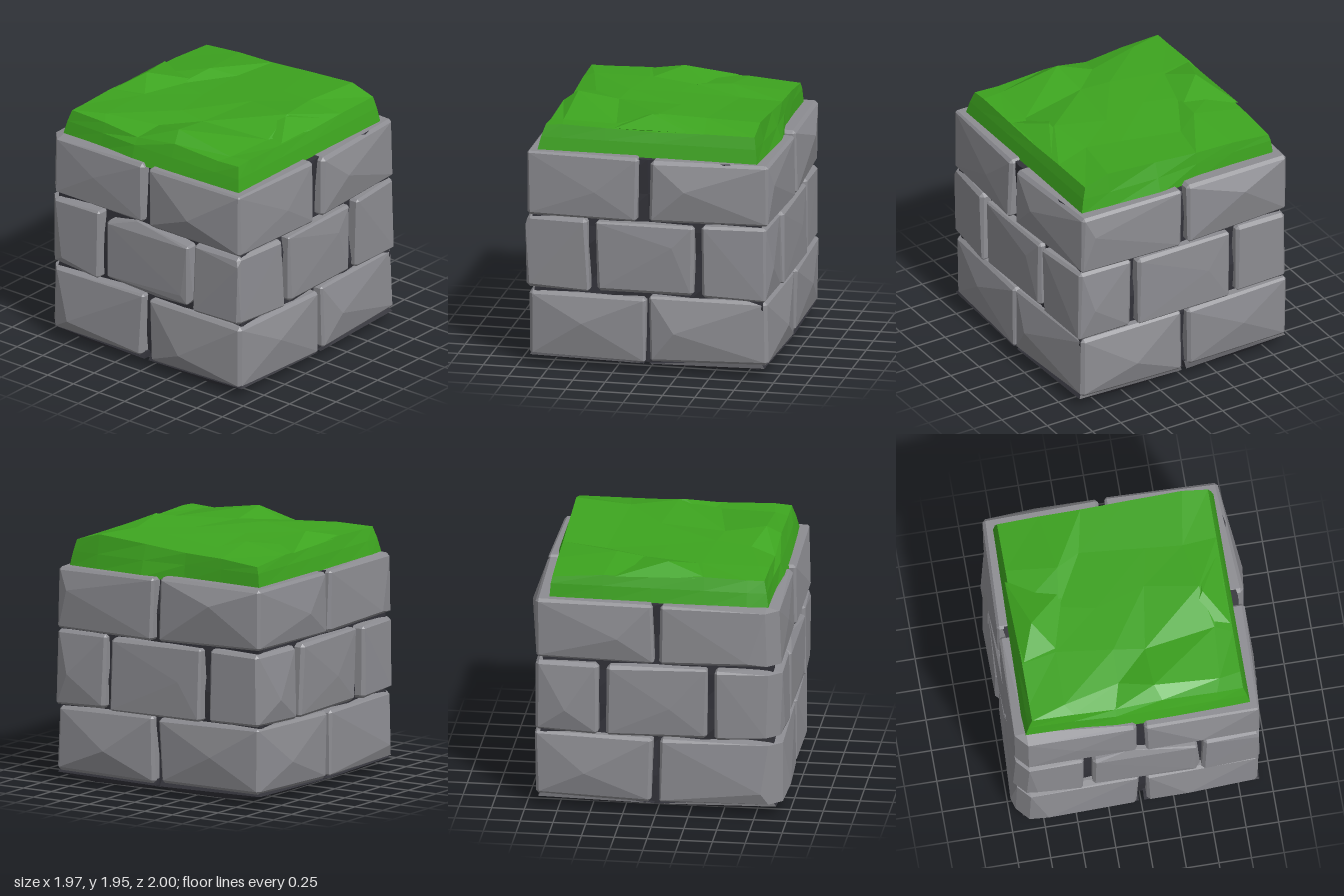
import * as THREE from 'three';
import { ConvexGeometry } from 'three/addons/geometries/ConvexGeometry.js';

const paint = (name, color) => {
  const m = new THREE.MeshStandardMaterial({ color, flatShading: true });
  m.name = name;
  return m;
};

// Small seeded generator, returns -1..1
function makeRandom(seed) {
  return () => {
    seed = (seed * 16807) % 2147483647;
    return (seed / 2147483647) * 2 - 1;
  };
}

export function createModel() {
  const stone = paint('stone grey', 0x8c8c91);
  const mortar = paint('dark mortar', 0x33333a);
  const grass = paint('grass green', 0x3da41f);
  const rand = makeRandom(4217);
  const group = new THREE.Group();
  group.name = 'grassyStoneBlock';

  const add = (name, geometry, material) => {
    const mesh = new THREE.Mesh(geometry, material);
    mesh.name = name;
    group.add(mesh);
  };

  // Rough-hewn brick: skewed box with thin bevels, pulled in at the outer corners
  // of the block (cut off at the front right), plus points that bulge its faces
  function brick(name, [x0, x1], [y0, y1], [z0, z1], bulges = []) {
    const points = bulges.map((b) => new THREE.Vector3(...b));
    for (const [x, sx] of [[x0, 1], [x1, -1]])
      for (const [y, sy] of [[y0, 1], [y1, -1]])
        for (const [z, sz] of [[z0, 1], [z1, -1]]) {
          const corner = Math.abs(x) > 0.9 && Math.abs(z) > 0.9;
          const cut = corner && x < 0 && z > 0;
          const pull = corner && !cut ? 0.96 : 1;
          const c = 0.02 + rand() * 0.008;
          const cx = cut ? 0.09 : c, cz = cut ? 0.1 : c;
          const px = x * pull + rand() * 0.012;
          const py = y + rand() * 0.01;
          const pz = z * (pull + 1) / 2 + rand() * 0.012;
          points.push(
            new THREE.Vector3(px, py + sy * c, pz + sz * cz),
            new THREE.Vector3(px + sx * cx, py, pz + sz * cz),
            new THREE.Vector3(px + sx * cx, py + sy * c, pz),
          );
        }
    add(name, new ConvexGeometry(points), stone);
  }

  // Bottom course: four corner bricks
  const low = [0.09, 0.597];
  brick('bottomBrickFrontRight', [-0.95, -0.03], low, [0.03, 0.95],
    [[-0.72, 0.2, 1.0], [-0.985, 0.2, 0.8]]);
  brick('bottomBrickFrontLeft', [0.035, 0.94], [0.08, 0.59], [0.01, 0.94],
    [[0.35, 0.22, 0.985], [0.965, 0.36, 0.5]]);
  brick('bottomBrickBackLeft', [0.03, 0.94], low, [-0.95, -0.02],
    [[0.985, 0.33, -0.22], [0.45, 0.3, -1.0]]);
  brick('bottomBrickBackRight', [-0.95, -0.03], low, [-0.95, -0.03],
    [[-0.975, 0.3, -0.55], [-0.5, 0.35, -0.98]]);

  // Middle course: corner bricks with one brick between them on each side
  const mid = [0.615, 1.178];
  brick('middleBrickFrontRight', [-0.965, -0.44], mid, [0.44, 0.95], [[-0.8, 0.7, 0.965]]);
  brick('middleBrickFrontLeft', [0.465, 0.95], mid, [0.45, 0.95], [[0.9, 1.1, 0.945]]);
  brick('middleBrickBackLeft', [0.47, 0.95], mid, [-0.94, -0.44], [[0.8, 0.85, -0.96]]);
  brick('middleBrickBackRight', [-0.95, -0.46], mid, [-0.94, -0.44], [[-0.965, 0.8, -0.7]]);
  brick('middleBrickFront', [-0.38, 0.42], [0.65, 1.14], [0.6, 0.95],
    [[0.36, 0.72, 0.965], [-0.1, 1.19, 0.92], [0.1, 0.62, 0.92], [0.45, 0.7, 0.92]]);
  brick('middleBrickBack', [-0.4, 0.41], mid, [-0.95, -0.6], [[-0.2, 0.9, -0.965]]);
  brick('middleBrickLeft', [0.6, 0.95], [0.63, 1.165], [-0.37, 0.38], [[0.96, 1.0, -0.2]]);
  brick('middleBrickRight', [-0.95, -0.6], mid, [-0.38, 0.38], [[-0.965, 0.85, 0.1]]);

  // Top course: four corner bricks
  const high = [1.197, 1.68];
  brick('topBrickFrontRight', [-0.95, -0.045], high, [0.03, 0.94],
    [[-0.985, 1.25, 0.7], [-0.5, 1.45, 0.955]]);
  brick('topBrickFrontLeft', [0.025, 0.94], [1.19, 1.68], [0.065, 0.94],
    [[0.45, 1.38, 1.0], [0.95, 1.4, 0.4]]);
  brick('topBrickBackLeft', [0.03, 0.94], [1.195, 1.67], [-0.95, -0.025],
    [[0.98, 1.45, -0.3], [0.8, 1.5, -0.965]]);
  brick('topBrickBackRight', [-0.95, -0.03], high, [-0.95, -0.03],
    [[-0.5, 1.52, -1.0], [-0.975, 1.4, -0.3]]);

  // Mortar core, with a lumpy underside and slightly wavy walls
  const core = new THREE.BoxGeometry(1, 1, 1, 6, 6, 6);
  const lumps = [0.05, 0.03, 0.06, 0.0, 0.04, 0.07, 0.02];
  const p = core.attributes.position;
  for (let n = 0; n < p.count; n++) {
    const x = p.getX(n), y = p.getY(n), z = p.getZ(n);
    const i = Math.round((x + 0.5) * 6), j = Math.round((z + 0.5) * 6);
    const level = Math.round((y + 0.5) * 6);
    const rim = Math.max(Math.abs(x), Math.abs(z)) > 0.49;
    const size = 1.75 + 0.05 * Math.sin(i * 2 + j * 3 + level * 4);
    const floor = rim ? 0.05 + lumps[(i + j) % 7] * 0.4 : lumps[(i * 2 + j * 3) % 7];
    p.setXYZ(n, x * size, level === 0 ? floor : (level / 6) * 1.67, z * size);
  }
  add('mortarCore', core, mortar);

  // Mortar feet, one under each bottom brick
  for (const sx of [-1, 1])
    for (const sz of [-1, 1]) {
      const foot = [
        [0.91, 0.08, 0.91], [0.87, 0.13, 0.87], [0.02, 0.07, 0.93], [0.93, 0.07, 0.02],
        [0.02, 0.07, 0.02], [0.6, 0.03, 0.88], [0.88, 0.05, 0.5], [0.12, 0.03, 0.86],
        [0.86, 0.05, 0.12], [0.27, 0.02, 0.5], [0.45, 0.015, 0.3], [0.02, 0.12, 0.9],
      ].map(([x, y, z]) => new THREE.Vector3(sx * x, y, sz * z));
      add('mortarFoot', new ConvexGeometry(foot), mortar);
    }

  // Turf cap: uneven top on sides that flare down to the stones
  const xs = [-0.82, -0.5, -0.18, 0.18, 0.6, 0.8];
  const zs = [-0.81, -0.42, -0.05, 0.35, 0.68, 0.81];
  const backFlare = [0.02, 0.02, 0.03, 0.08, 0.05, 0.03];
  const frontFlare = [0.04, 0.05, 0.08, 0.08, 0.07, 0.06];
  const rightFlare = [0.03, 0.04, 0.05, 0.06, 0.07, 0.06];
  const heights = [
    [1.83, 1.86, 1.87, 1.90, 1.93, 1.87],
    [1.86, 1.91, 1.86, 1.90, 1.92, 1.87],
    [1.86, 1.88, 1.89, 1.91, 1.95, 1.86],
    [1.88, 1.89, 1.91, 1.90, 1.87, 1.87],
    [1.87, 1.89, 1.88, 1.95, 1.87, 1.88],
    [1.87, 1.86, 1.83, 1.88, 1.86, 1.87],
  ];
  const turf = new THREE.BoxGeometry(1, 1, 1, 5, 2, 5);
  const t = turf.attributes.position;
  for (let n = 0; n < t.count; n++) {
    const i = Math.round((t.getX(n) + 0.5) * 5), j = Math.round((t.getZ(n) + 0.5) * 5);
    const level = Math.round(t.getY(n) * 2);
    let x = xs[i], z = zs[j];
    if (level < 1) {
      const amount = level < 0 ? 1 : 0.5;
      if (i === 0) x -= rightFlare[j] * amount;
      if (i === 5) x += 0.05 * amount;
      if (j === 0) z -= backFlare[i] * amount;
      if (j === 5) z += frontFlare[i] * amount;
    } else if (i > 0 && i < 5 && j > 0 && j < 5) {
      // Shift inner points for irregular facets
      x += 0.07 * Math.sin(i * 3 + j * 5);
      z += 0.06 * Math.cos(i * 4 + j * 2);
    }
    t.setXYZ(n, x, [1.655, 1.78, heights[j][i]][level + 1], z);
  }
  add('turfCap', turf, grass);

  // Small peaks near the right and left edges
  const peaks = [
    [[-0.84, 1.86, -0.33], [-0.43, 1.88, -0.19], [-0.53, 1.88, 0.3],
      [-0.82, 1.87, 0.38], [-0.7, 1.95, 0.06], [-0.65, 1.8, 0.0]],
    [[0.6, 1.9, -0.35], [0.5, 1.88, 0.2], [0.79, 1.87, 0.28],
      [0.79, 1.87, -0.3], [0.62, 1.95, 0.02], [0.65, 1.8, 0.0]],
  ];
  for (const peak of peaks)
    add('turfPeak', new ConvexGeometry(peak.map((v) => new THREE.Vector3(...v))), grass);

  return group;
}
